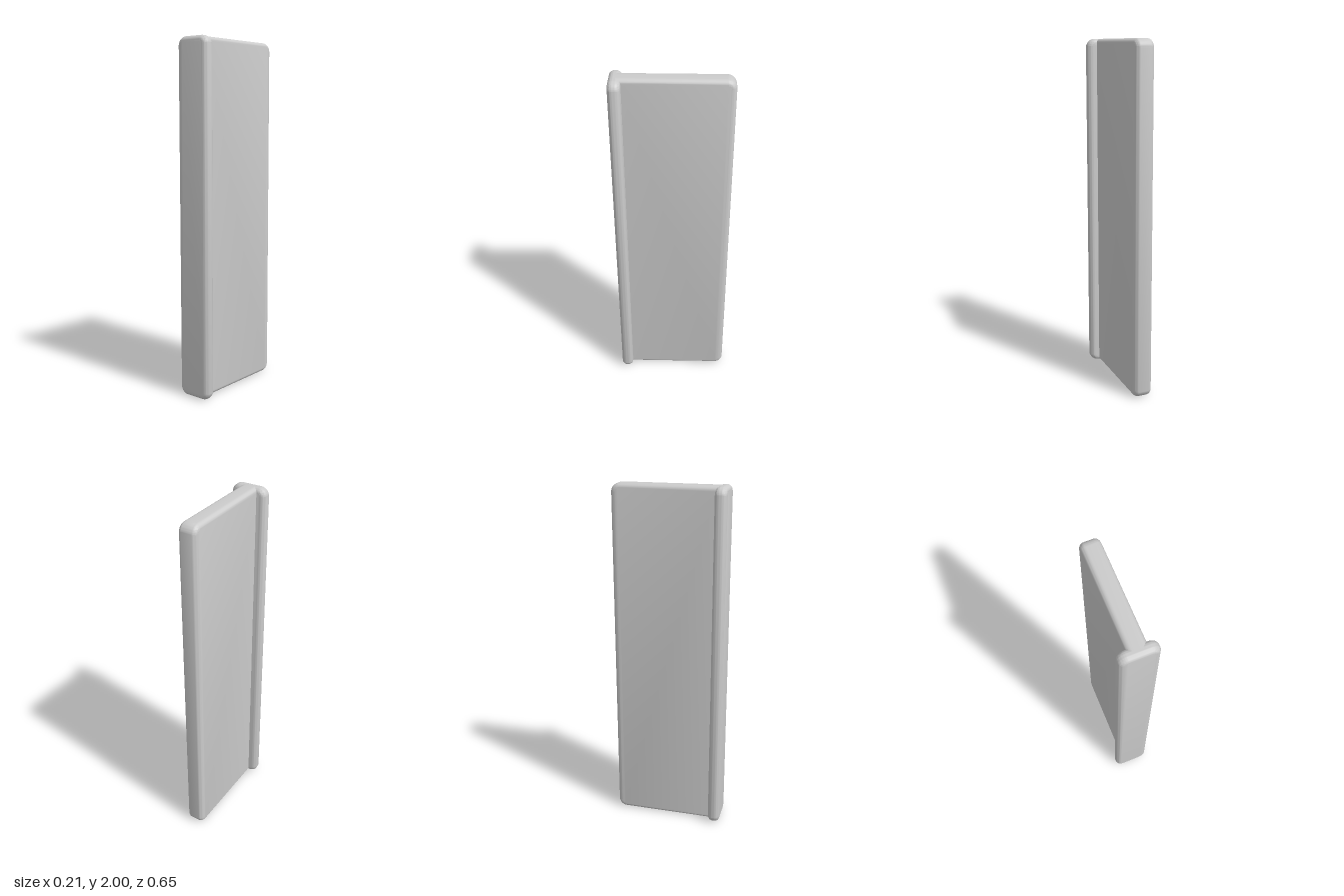
import * as THREE from 'three';
import { toCreasedNormals } from 'three/addons/utils/BufferGeometryUtils.js';

const HEIGHT = 2;
const BEVEL = 0.028; // rounding between a plate's faces and its rim
const CORNER = 0.05; // rounding of a plate's outline
const material = new THREE.MeshStandardMaterial({ color: 0xcccccc });

// Upright plate with softened edges; its outline spans u0..u1 by 0..HEIGHT.
// The corners at u1 are rounded only when roundEnd is true.
function plate(name, u0, u1, thickness, roundEnd) {
  const r = CORNER - BEVEL;
  const a = u0 + BEVEL, b = u1 - BEVEL;
  const y0 = BEVEL, y1 = HEIGHT - BEVEL;
  const shape = new THREE.Shape();
  shape.moveTo(a + r, y0);
  if (roundEnd) {
    shape.absarc(b - r, y0 + r, r, -Math.PI / 2, 0);
    shape.absarc(b - r, y1 - r, r, 0, Math.PI / 2);
  } else {
    shape.lineTo(b, y0);
    shape.lineTo(b, y1);
  }
  shape.absarc(a + r, y1 - r, r, Math.PI / 2, Math.PI);
  shape.absarc(a + r, y0 + r, r, Math.PI, Math.PI * 1.5);

  const depth = thickness - 2 * BEVEL;
  const geometry = new THREE.ExtrudeGeometry(shape, {
    depth, bevelSize: BEVEL, bevelThickness: BEVEL, bevelSegments: 8, curveSegments: 8,
  });
  geometry.translate(0, 0, -depth / 2);
  const mesh = new THREE.Mesh(toCreasedNormals(geometry, 0.6), material);
  mesh.name = name;
  return mesh;
}

export function createModel() {
  const group = new THREE.Group();
  group.name = 'tPanel';

  // Narrow front strip
  const flange = plate('frontFlange', -0.104, 0.104, 0.067, true);
  flange.position.z = 0.2895;
  group.add(flange);

  // Deep panel behind it, its square end buried in the strip
  const web = plate('panel', -0.323, 0.288, 0.105, false);
  web.rotation.y = -Math.PI / 2;
  group.add(web);

  return group;
}
